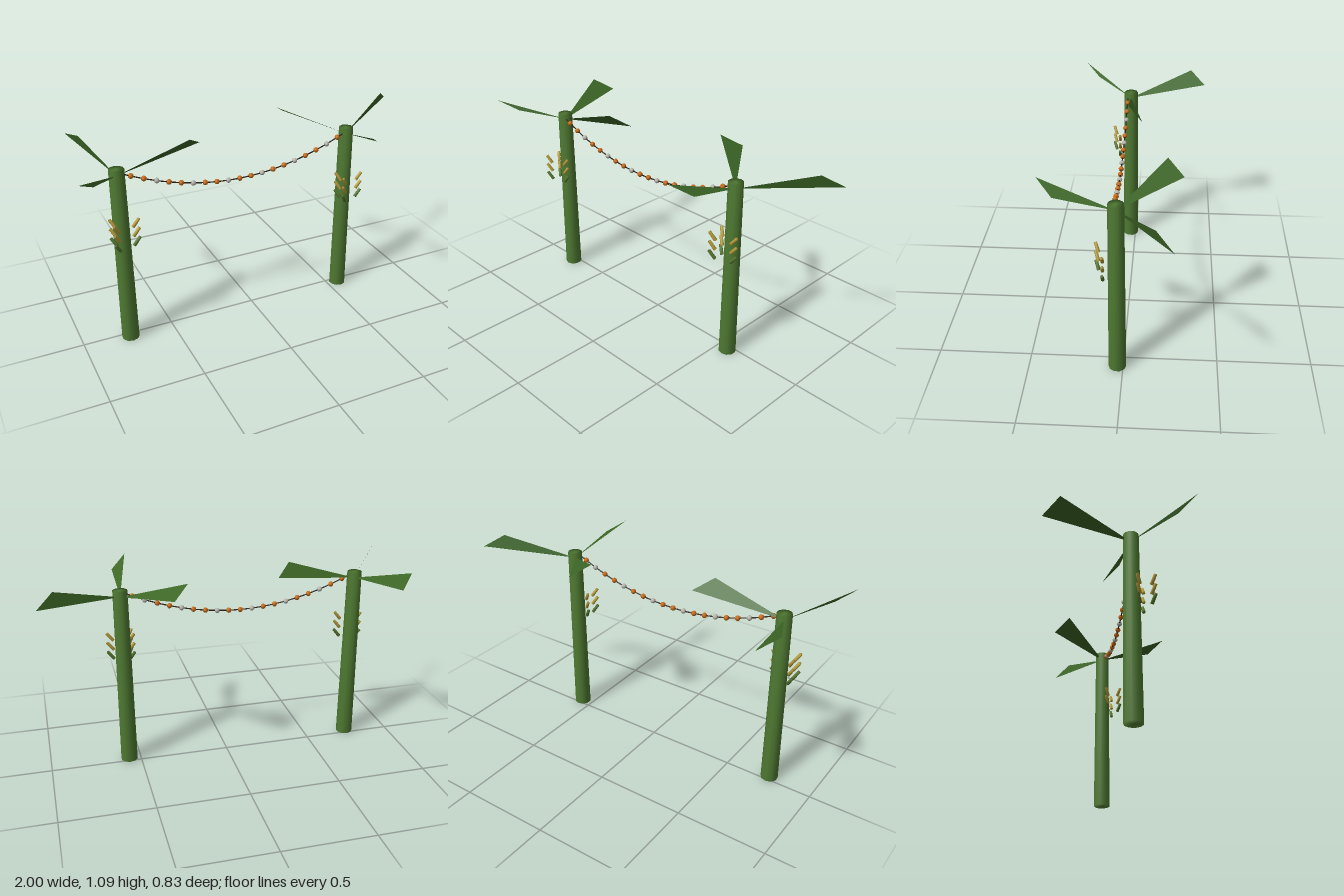
import * as THREE from 'three';
import { mergeVertices } from 'three/addons/utils/BufferGeometryUtils.js';

const material = (name, color, side = THREE.FrontSide) => {
  const m = new THREE.MeshStandardMaterial({ color, side });
  m.name = name;
  return m;
};

// Cylinder whose normals run smoothly over the rims
function softCylinder(top, bottom, height, sides) {
  const g = new THREE.CylinderGeometry(top, bottom, height, sides);
  g.deleteAttribute('uv');
  g.deleteAttribute('normal');
  const welded = mergeVertices(g, 1e-5);
  welded.computeVertexNormals();
  return welded;
}

export function createModel() {
  const model = new THREE.Group();
  model.name = 'palmGarland';

  const trunkGreen = material('trunkGreen', 0x4f7a32);
  const leafGreen = material('leafGreen', 0x3c6626, THREE.DoubleSide);
  const ripeYellow = material('ripeYellow', 0xb89e3c);
  const unripeGreen = material('unripeGreen', 0x58782f);
  const beadOrange = material('beadOrange', 0xc8690f);
  const beadGrey = material('beadGrey', 0xbab6ac);
  const cordDark = material('cordDark', 0x2a241c);

  const add = (parent, name, geometry, mat, x = 0, y = 0, z = 0) => {
    const mesh = new THREE.Mesh(geometry, mat);
    mesh.name = name;
    mesh.position.set(x, y, z);
    parent.add(mesh);
    return mesh;
  };

  const trunkHeight = 1.005;
  const trunkGeo = softCylinder(0.04, 0.047, trunkHeight, 10);
  const fruitGeo = softCylinder(0.0085, 0.0095, 0.054, 7);

  // Triangular leaf blade from the crown to a slanted outer edge
  const leafGeometry = (x, z) => {
    const g = new THREE.BufferGeometry();
    g.setAttribute('position', new THREE.Float32BufferAttribute([
      0, 0, 0,
      x + 0.0425, 0.062, z - 0.0415,
      x - 0.0425, 0.122, z + 0.0415,
    ], 3));
    g.computeVertexNormals();
    return g;
  };

  // Fruit columns: offset from the trunk, then outward lean
  const columns = [
    { x: 0.06, z: 0.064, lean: [0.8, 1, 0] },
    { x: -0.05, z: 0.098, lean: [-0.6, 1, 0.38] },
    { x: -0.05, z: 0.027, lean: [-0.6, 1, -0.38] },
  ];
  const up = new THREE.Vector3(0, 1, 0);

  const palms = [
    { name: 'rightPalm', x: -0.746, leaves: [[-0.117, -0.402], [0.433, -0.046], [-0.209, 0.247]] },
    { name: 'leftPalm', x: 0.565, leaves: [[-0.27, -0.278], [0.39, -0.237], [-0.038, 0.34]] },
  ];
  for (const { name, x, leaves } of palms) {
    const palm = new THREE.Group();
    palm.name = name;
    palm.position.set(x, 0, 0.03);
    model.add(palm);
    add(palm, 'trunk', trunkGeo, trunkGreen, 0, trunkHeight / 2, 0);
    for (const [lx, lz] of leaves) add(palm, 'leaf', leafGeometry(lx, lz), leafGreen, 0, 0.968, 0);

    // Hanging fruit, the lowest row still green
    for (const c of columns) {
      const lean = new THREE.Vector3(...c.lean).normalize();
      for (let row = 0; row < 3; row++) {
        const fruit = add(palm, 'fruit', fruitGeo, row === 2 ? unripeGreen : ripeYellow,
          c.x, 0.725 - row * 0.053, c.z);
        fruit.quaternion.setFromUnitVectors(up, lean);
      }
    }
  }

  // Sagging cord strung with beads
  const spans = 20;
  const points = [];
  for (let i = 0; i <= spans; i++) {
    const t = i / spans;
    points.push(new THREE.Vector3(-0.746 + 1.311 * t, 0.993 - 0.64 * t * (1 - t), 0.048));
  }
  const cord = new THREE.CatmullRomCurve3(points);
  add(model, 'garlandCord', new THREE.TubeGeometry(cord, 40, 0.0035, 5), cordDark);
  const beadGeo = new THREE.SphereGeometry(0.0145, 8, 6);
  for (let i = 1; i < spans; i++) {
    const p = points[i];
    add(model, 'bead', beadGeo, i % 3 === 0 ? beadGrey : beadOrange, p.x, p.y, p.z);
  }
  return model;
}
